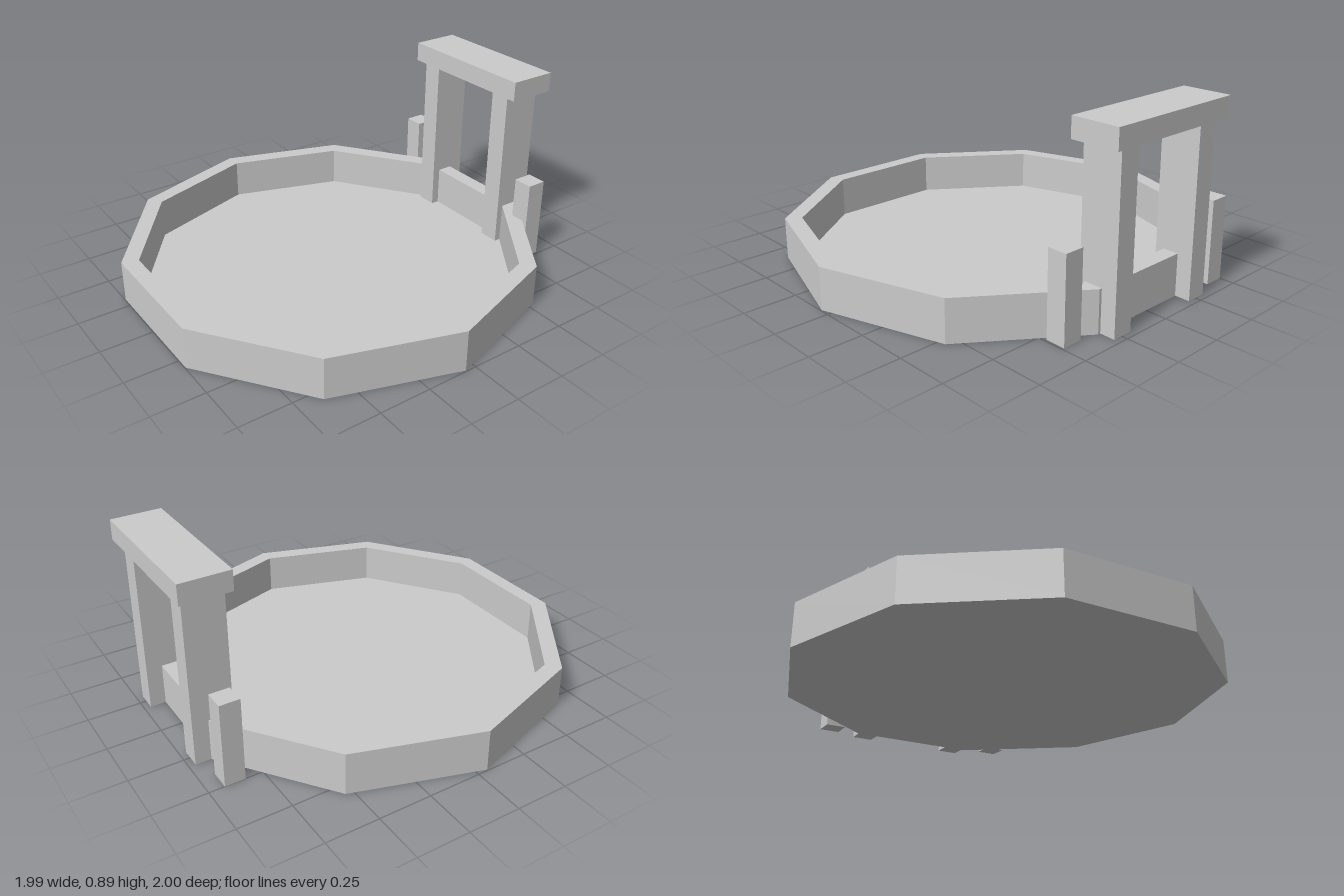
import * as THREE from 'three';

const SIDES = 10;
const OUTER = 0.995;
const INNER = 0.915;
const CENTRE_Z = 0.05;
const FLOOR = 0.005;

export function createModel() {
  const group = new THREE.Group();
  const material = new THREE.MeshStandardMaterial({ color: 0xcccccc, flatShading: true });

  const add = (name, geometry, x, y, z) => {
    const mesh = new THREE.Mesh(geometry, material);
    mesh.name = name;
    mesh.position.set(x, y, z);
    group.add(mesh);
  };

  // Box given by its footprint centre and vertical extent
  const block = (name, x, z, w, d, y0, y1) =>
    add(name, new THREE.BoxGeometry(w, y1 - y0, d), x, (y0 + y1) / 2, z);

  const ring = (radius) => Array.from({ length: SIDES }, (_, i) => {
    const a = (i / SIDES) * Math.PI * 2;
    return new THREE.Vector2(Math.cos(a) * radius, Math.sin(a) * radius);
  });

  // Thin ten-sided floor
  const floor = new THREE.CylinderGeometry(OUTER, OUTER, FLOOR, SIDES, 1, false, Math.PI / 2);
  add('floor', floor, 0, FLOOR / 2, CENTRE_Z);

  // Low wall running round the floor
  const outline = new THREE.Shape(ring(OUTER));
  outline.holes.push(new THREE.Path(ring(INNER)));
  const wall = new THREE.ExtrudeGeometry(outline, { depth: 0.2 - FLOOR, bevelEnabled: false });
  wall.rotateX(-Math.PI / 2);
  add('wall', wall, 0, FLOOR, CENTRE_Z);

  // Gateway: two pillars and a lintel
  block('rightPillar', -0.255, -0.875, 0.1, 0.19, 0, 0.8);
  block('leftPillar', 0.245, -0.875, 0.1, 0.19, 0, 0.8);
  block('lintel', -0.004, -0.8825, 0.714, 0.235, 0.8, 0.895);

  // Short posts beside the gateway
  block('rightPost', -0.453, -0.88, 0.096, 0.095, 0, 0.4);
  block('leftPost', 0.442, -0.832, 0.096, 0.095, 0, 0.4);

  return group;
}
